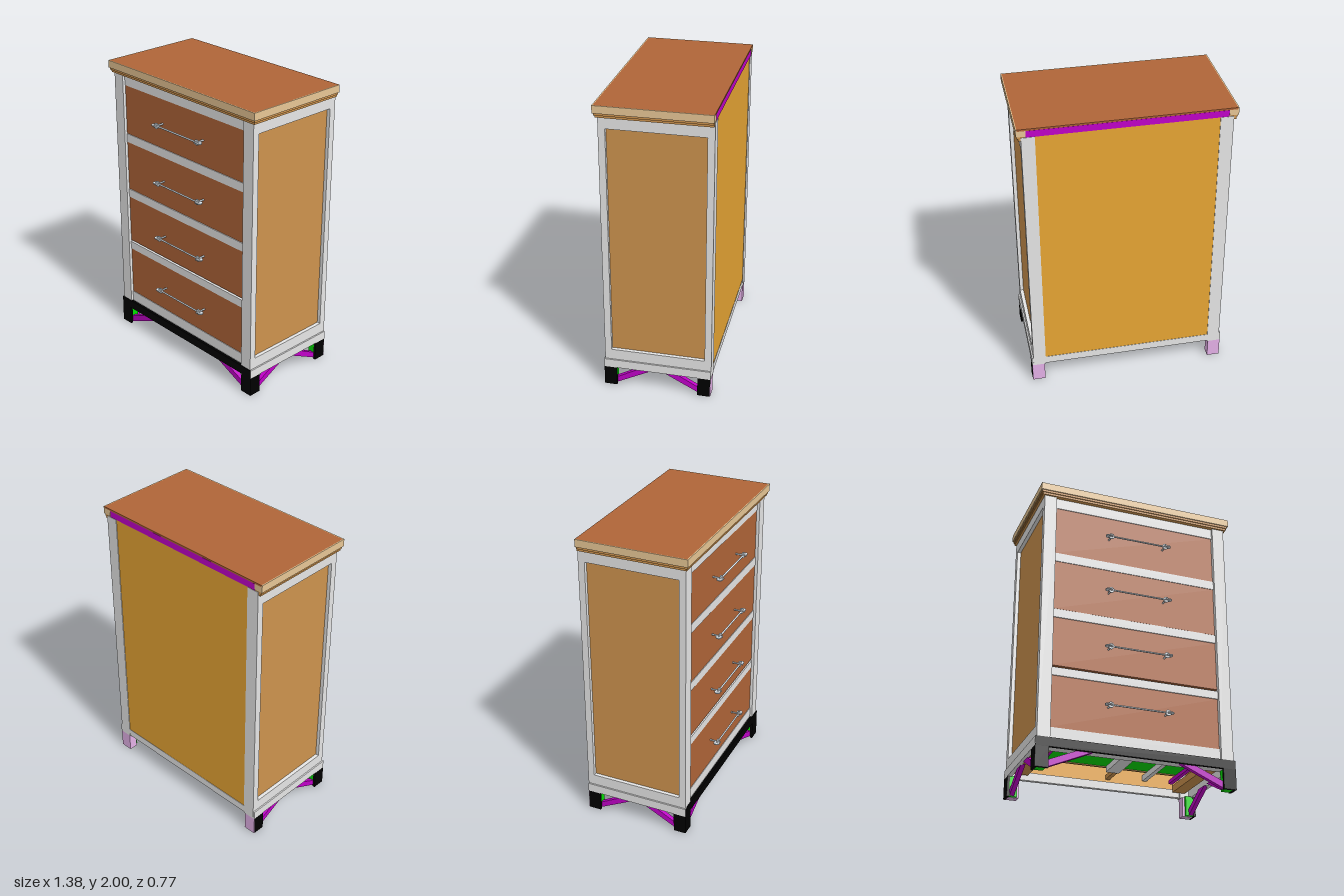
import * as THREE from 'three';

const mat = (name, color) => {
  const m = new THREE.MeshStandardMaterial({ color });
  m.name = name;
  return m;
};

export function createModel() {
  const root = new THREE.Group();
  root.name = 'chestOfDrawers';
  const gray = mat('grayFrame', 0xe6e6e6);
  const brown = mat('brownWood', 0xb06538);
  const oak = mat('oakPanel', 0xcd934e);
  const tan = mat('tanEdge', 0xe8c796);
  const gold = mat('goldBack', 0xe8a634);
  const magenta = mat('magentaBrace', 0xc000c8);
  const green = mat('greenBoard', 0x00e000);
  const pink = mat('pinkFoot', 0xe8b4ec);
  const black = mat('blackBase', 0x000000);
  const silver = mat('silverHandle', 0xe4ecf2);

  const add = (geo, m, name, parent = root) => {
    const mesh = new THREE.Mesh(geo, m);
    mesh.name = name;
    parent.add(mesh);
    return mesh;
  };
  // Box given by its limits on each axis
  const box = (name, m, x0, x1, y0, y1, z0, z1, parent = root) => {
    const mesh = add(new THREE.BoxGeometry(x1 - x0, y1 - y0, z1 - z0), m, name, parent);
    mesh.position.set((x0 + x1) / 2, (y0 + y1) / 2, (z0 + z1) / 2);
    return mesh;
  };
  // Same box on both sides of the model
  const pair = (name, m, x0, x1, ...rest) => {
    box(name + 'Left', m, x0, x1, ...rest);
    box(name + 'Right', m, -x1, -x0, ...rest);
  };

  // Top: brown panel in a tan rim, stepped moulding below, open at the back
  box('topPanel', brown, -0.683, 0.683, 1.988, 2, -0.39, 0.348);
  pair('topRim', tan, 0.683, 0.69, 1.988, 2, -0.39, 0.355);
  box('topRimFront', tan, -0.683, 0.683, 1.988, 2, 0.348, 0.355);
  pair('topEdge', tan, 0.63, 0.69, 1.95, 1.988, -0.39, 0.355);
  box('topEdgeFront', tan, -0.63, 0.63, 1.95, 1.988, 0.29, 0.355);
  for (const [y0, y1, out] of [[1.935, 1.95, 0.683], [1.92, 1.935, 0.676]]) {
    pair('moulding', oak, 0.63, out, y0, y1, -0.386, out - 0.335);
    box('mouldingFront', oak, -0.63, 0.63, y0, y1, 0.29, out - 0.335);
  }
  box('backCleat', magenta, -0.63, 0.63, 1.942, 1.986, -0.388, -0.36);

  // Carcass: corner posts, side frames with sunk panels, back
  pair('frontPost', gray, 0.575, 0.66, 0.195, 1.925, 0.285, 0.33);
  pair('backPost', gray, 0.575, 0.66, 0.135, 1.942, -0.39, -0.345);
  pair('sideTopRail', gray, 0.61, 0.66, 1.845, 1.925, -0.345, 0.285);
  pair('sideBottomRail', gray, 0.61, 0.66, 0.195, 0.27, -0.345, 0.285);
  pair('sidePanel', oak, 0.62, 0.635, 0.27, 1.845, -0.345, 0.285);
  box('backPanel', gold, -0.575, 0.575, 0.195, 1.942, -0.386, -0.37);
  box('backBottomRail', gray, -0.575, 0.575, 0.14, 0.195, -0.388, -0.36);

  // Front rails between the drawers, set back from the posts
  for (const [y0, y1] of [[0.195, 0.27], [0.62, 0.676], [1.028, 1.087], [1.439, 1.5], [1.845, 1.925]])
    box('frontRail', gray, -0.575, 0.575, y0, y1, 0.24, 0.313);

  // Handle: bar, posts, upright and flat discs
  const makeHandle = (y) => {
    const g = new THREE.Group();
    g.name = 'handle';
    g.position.set(0, y, 0.365);
    const bar = add(new THREE.CylinderGeometry(0.006, 0.006, 0.43, 10), silver, 'handleBar', g);
    bar.rotation.z = Math.PI / 2;
    const disc = new THREE.CylinderGeometry(0.02, 0.02, 0.007, 20);
    for (const s of [-1, 1]) {
      const post = add(new THREE.CylinderGeometry(0.006, 0.006, 0.08, 10), silver, 'handlePost', g);
      post.rotation.x = Math.PI / 2;
      post.position.set(s * 0.195, 0, -0.02);
      const upright = add(disc, silver, 'handleDisc', g);
      upright.rotation.x = Math.PI / 2;
      upright.position.x = s * 0.195;
      add(disc, silver, 'handleEndDisc', g).position.x = s * 0.215;
    }
    return g;
  };

  // Drawers: front, box sides, back and bottom board
  [[0.271, 0.618, 0.45], [0.688, 1.026, 0.855], [1.089, 1.438, 1.265], [1.501, 1.844, 1.675]].forEach(([y0, y1, hy], i) => {
    const d = new THREE.Group();
    d.name = 'drawer' + (i + 1);
    root.add(d);
    box('drawerFront', brown, -0.574, 0.571, y0, y1, 0.285, 0.31, d);
    for (const x of [-0.555, 0.535]) box('drawerSide', oak, x, x + 0.02, y0 + 0.01, y1 - 0.05, -0.33, 0.285, d);
    box('drawerBack', oak, -0.535, 0.535, y0 + 0.01, y1 - 0.05, -0.33, -0.31, d);
    box('drawerBottom', green, -0.535, 0.535, y0 + 0.015, y0 + 0.025, -0.31, 0.285, d);
    d.add(makeHandle(hy));
  });
  // Slide showing in the gap under the third drawer
  box('slideBoard', green, -0.45, 0.45, 0.676, 0.688, 0.2, 0.285);
  pair('slideEnd', gold, 0.45, 0.575, 0.676, 0.688, 0.2, 0.285);

  // Runners seen from below
  box('centreRunner', gray, -0.06, 0.03, 0.17, 0.21, -0.1, 0.24);
  box('centreGuide', oak, 0.03, 0.06, 0.21, 0.24, -0.36, 0.24);
  box('innerRunner', gray, 0.3, 0.33, 0.23, 0.27, -0.36, 0.24);
  pair('sideRunner', oak, 0.52, 0.61, 0.17, 0.22, -0.345, 0.24);
  pair('sideStrip', magenta, 0.47, 0.5, 0.21, 0.235, -0.3, 0.24);

  // Base: black front board, gray side boards
  box('baseFront', black, -0.669, 0.669, 0.135, 0.195, 0.315, 0.335);
  pair('baseSide', gray, 0.64, 0.67, 0.135, 0.195, -0.388, 0.334);
  box('baseRail', gray, -0.64, 0.64, 0.14, 0.195, 0.24, 0.315);

  // Feet: black outer boards, green corner blocks, pink back blocks
  pair('frontFoot', black, 0.583, 0.67, 0, 0.135, 0.317, 0.335);
  pair('frontFootSide', black, 0.653, 0.67, 0, 0.135, 0.25, 0.317);
  pair('frontFootBlock', green, 0.595, 0.653, 0.002, 0.14, 0.258, 0.317);
  pair('backFootSide', black, 0.653, 0.67, 0, 0.135, -0.384, -0.3);
  pair('backFoot', pink, 0.583, 0.653, 0, 0.135, -0.387, -0.325);
  pair('backFootEnd', pink, 0.653, 0.669, 0, 0.135, -0.387, -0.384);
  pair('backFootBlock', green, 0.6, 0.653, 0.002, 0.14, -0.325, -0.305);

  // Slanted braces from the feet to the base
  const braceGeo = (pts) => new THREE.ExtrudeGeometry(
    new THREE.Shape(pts.map(([x, y]) => new THREE.Vector2(x, y))), { depth: 0.03, bevelEnabled: false });
  for (const s of [-1, 1]) {
    add(braceGeo([[0.6, 0.004], [0.6, 0.05], [0.39, 0.14], [0.29, 0.14]].map(([x, y]) => [s * x, y])),
      magenta, 'frontBrace').position.z = 0.285;
    for (const [e, z] of [[1, -0.025], [-1, -0.025]]) {
      const side = braceGeo([[0.285, 0.004], [0.285, 0.045], [0.11, 0.14], [0.02, 0.14]].map(([a, y]) => [e * a, y]));
      side.rotateY(-Math.PI / 2);
      add(side, magenta, 'sideBrace').position.set(s > 0 ? 0.65 : -0.62, 0, z);
    }
  }
  return root;
}
